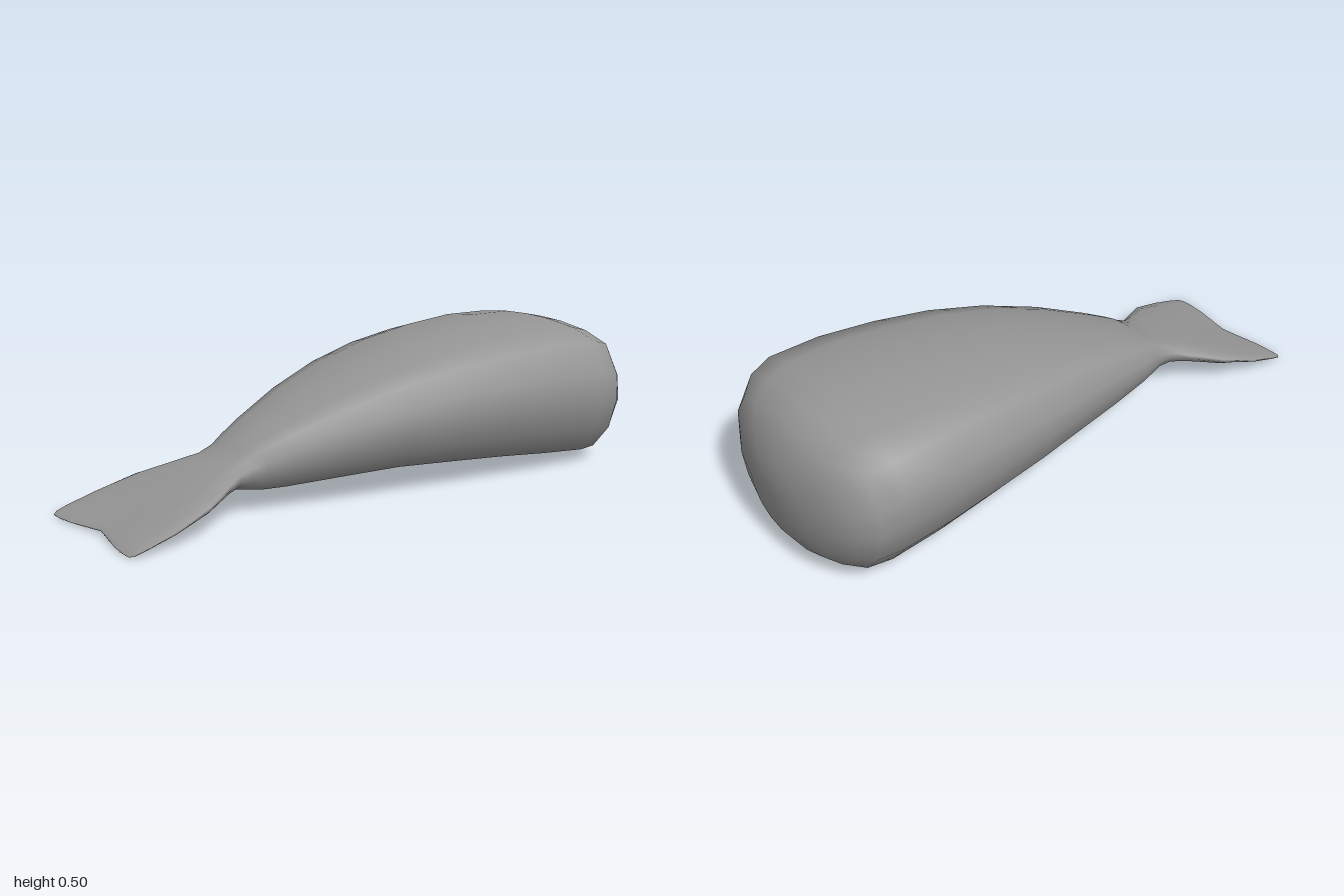
import * as THREE from 'three';
import { mergeVertices } from 'three/addons/utils/BufferGeometryUtils.js';

// Half of the rounded-square cross-section, top to bottom (unit half width and half height)
const HALF = [
  [0, 1], [0.25, 0.985], [0.59, 0.92], [0.865, 0.78], [1, 0.35], [1, -0.05],
  [0.925, -0.48], [0.75, -0.83], [0.4, -0.97], [0, -1],
];

// Stations from the blunt head to the tail: z, half width, top y, bottom y
const STATIONS = [
  [-1, 0, 0.22, 0.22], [-0.995, 0.09, 0.28, 0.12], [-0.985, 0.16, 0.33, 0.075],
  [-0.96, 0.26, 0.395, 0.037], [-0.92, 0.34, 0.45, 0.017], [-0.86, 0.385, 0.482, 0],
  [-0.78, 0.4, 0.5, 0.004], [-0.6, 0.396, 0.503, 0.02], [-0.4, 0.375, 0.486, 0.04],
  [-0.2, 0.345, 0.457, 0.055], [0, 0.3, 0.41, 0.067], [0.2, 0.242, 0.343, 0.064],
  [0.38, 0.178, 0.265, 0.059], [0.46, 0.145, 0.226, 0.06], [0.505, 0.13, 0.196, 0.07],
  [0.55, 0.135, 0.171, 0.082], [0.61, 0.168, 0.15, 0.078], [0.72, 0.232, 0.113, 0.057],
  [0.85, 0.26, 0.063, 0.031], [0.95, 0.265, 0.028, 0.012], [0.985, 0.262, 0.015, 0.004],
  [1, 0.25, 0.007, 0.003], [1, 0.245, 0.004, 0.004],
];

// Skins the stations with one closed surface
function loftBody() {
  const ring = [...HALF, ...HALF.slice(1, -1).reverse().map(([x, y]) => [-x, y])];
  const n = ring.length;
  const positions = [];
  const indices = [];
  STATIONS.forEach(([z, w, top, bottom], i) => {
    // The section turns rounder towards the blunt end
    const roundness = 0.8 * (1 - THREE.MathUtils.smoothstep(z, -1, -0.8));
    const notch = 0.037 * THREE.MathUtils.smoothstep(z, 0.75, 1);
    ring.forEach(([sx, sy], j) => {
      const k = THREE.MathUtils.lerp(1, 1 / Math.hypot(sx, sy), roundness);
      const x = sx * k * w;
      const y = (top + bottom) / 2 + sy * k * (top - bottom) / 2;
      // The trailing edge of the tail is drawn in and lifted at the middle
      const inset = notch * (1 - THREE.MathUtils.smoothstep(Math.abs(x), -0.05, 0.21)) * 1.1;
      positions.push(x, y + inset * 0.18, z - inset);
      if (i === STATIONS.length - 1) return;
      const a = i * n + j, b = i * n + (j + 1) % n;
      indices.push(a, a + n, b, b, a + n, b + n);
    });
  });
  const geometry = new THREE.BufferGeometry();
  geometry.setAttribute('position', new THREE.Float32BufferAttribute(positions, 3));
  geometry.setIndex(indices);
  const merged = mergeVertices(geometry, 1e-5);
  merged.computeVertexNormals();
  return merged;
}

export function createModel() {
  const group = new THREE.Group();
  group.name = 'whaleBody';
  const body = new THREE.Mesh(loftBody(), new THREE.MeshStandardMaterial({ color: 0x969696 }));
  body.name = 'bodyAndTail';
  group.add(body);
  return group;
}
